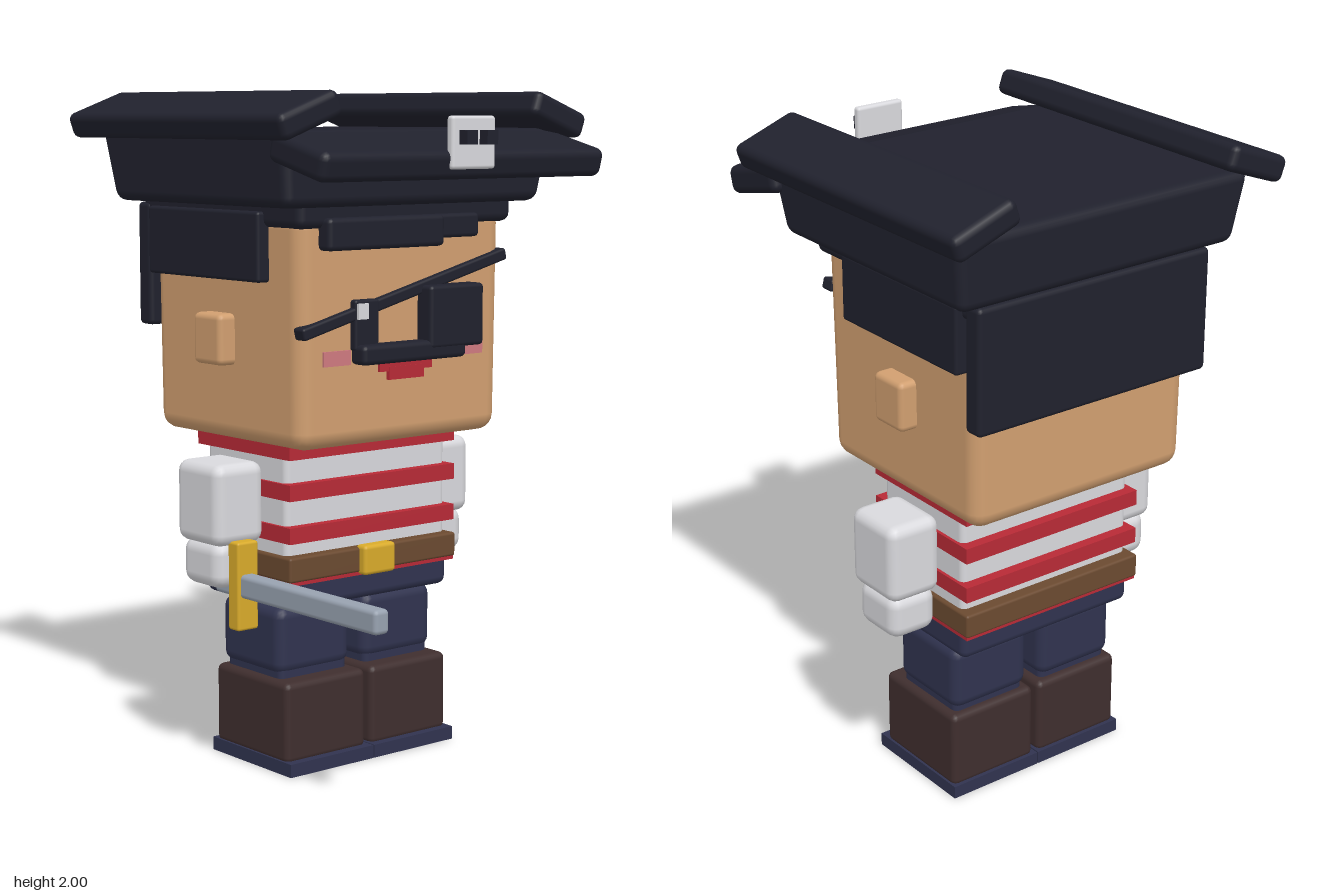
import * as THREE from 'three';
import { RoundedBoxGeometry } from 'three/addons/geometries/RoundedBoxGeometry.js';

const mat = (name, color) => new THREE.MeshStandardMaterial({ name, color });

export function createModel() {
  const model = new THREE.Group();
  model.name = 'blockyPirate';

  const black = mat('hatBlack', 0x20212d);
  const skin = mat('skin', 0xd19f70);
  const white = mat('shirtWhite', 0xd9d9dd);
  const red = mat('stripeRed', 0xb82a36);
  const navy = mat('trouserNavy', 0x30334f);
  const leather = mat('bootBrown', 0x3f2e2e);
  const brown = mat('beltBrown', 0x6b4a30);
  const gold = mat('gold', 0xd9ab2b);
  const steel = mat('steel', 0x98a2b0);
  const pink = mat('cheekPink', 0xcf7a80);

  // Box given by its extents; r > 0 rounds the edges
  function box(name, material, [x0, x1], [y0, y1], [z0, z1], r = 0, parent = model) {
    const w = x1 - x0, h = y1 - y0, d = z1 - z0;
    const geo = r ? new RoundedBoxGeometry(w, h, d, 2, r) : new THREE.BoxGeometry(w, h, d);
    const mesh = new THREE.Mesh(geo, material);
    mesh.name = name;
    mesh.position.set((x0 + x1) / 2, (y0 + y1) / 2, (z0 + z1) / 2);
    parent.add(mesh);
    return mesh;
  }

  // The same box on both sides
  function pair(name, material, [x0, x1], y, z, r) {
    return [
      box(name + 'Left', material, [x0, x1], y, z, r),
      box(name + 'Right', material, [-x1, -x0], y, z, r),
    ];
  }

  // Narrow a box toward its bottom
  function taper(mesh, height, amount) {
    const p = mesh.geometry.attributes.position;
    for (let i = 0; i < p.count; i++) {
      const s = 1 - amount * (0.5 - p.getY(i) / height);
      p.setX(i, p.getX(i) * s);
      p.setZ(i, p.getZ(i) * s);
    }
    mesh.geometry.computeBoundingSphere();
  }

  // Boots, soles and legs
  pair('sole', navy, [0.002, 0.32], [0, 0.04], [-0.27, 0.115]);
  pair('boot', leather, [0.01, 0.315], [0.03, 0.275], [-0.26, 0.09], 0.02);
  pair('shin', navy, [0.035, 0.29], [0.25, 0.32], [-0.235, 0.03], 0.02);
  pair('leg', navy, [0.025, 0.302], [0.285, 0.49], [-0.25, 0.038], 0.035);
  box('hips', navy, [-0.315, 0.315], [0.492, 0.59], [-0.31, 0.093], 0.025);

  // Shirt with stripes
  box('shirt', white, [-0.31, 0.31], [0.57, 0.965], [-0.3, 0.085], 0.02);
  for (const y of [0.573, 0.697, 0.823, 0.943]) {
    box('stripe', red, [-0.32, 0.32], [y, y + 0.048], [-0.333, 0.115]);
  }
  box('neck', white, [-0.2, 0.2], [0.94, 1.0], [-0.24, 0.03]);

  // Belt
  box('belt', brown, [-0.324, 0.324], [0.583, 0.657], [-0.34, 0.12], 0.008);
  box('buckle', gold, [-0.062, 0.06], [0.575, 0.665], [0.1, 0.146], 0.012);

  // Arms and hands
  pair('arm', white, [0.318, 0.495], [0.688, 0.93], [-0.212, 0], 0.035);
  pair('hand', white, [0.325, 0.485], [0.56, 0.7], [-0.2, -0.015], 0.04);

  // Sword in the right hand
  const sword = new THREE.Group();
  sword.name = 'sword';
  model.add(sword);
  box('guard', gold, [-0.445, -0.37], [0.443, 0.705], [-0.02, 0.03], 0.008, sword);
  box('blade', steel, [-0.435, -0.382], [0.54, 0.61], [-0.1, 0.63], 0.014, sword);

  // Head and ears
  const head = box('head', skin, [-0.388, 0.388], [0.985, 1.66], [-0.463, 0.25], 0.05);
  taper(head, 0.675, 0.015);
  pair('ear', skin, [0.36, 0.44], [1.21, 1.36], [-0.19, -0.057], 0.018);

  // Hair
  box('hairCap', black, [-0.405, 0.405], [1.615, 1.71], [-0.49, 0.27], 0.025);
  pair('sideHair', black, [0.37, 0.427], [1.46, 1.66], [-0.43, 0.108], 0.01);
  box('backHair', black, [-0.41, 0.41], [1.3, 1.67], [-0.51, -0.445], 0.015);
  box('fringe', black, [-0.32, 0.115], [1.553, 1.645], [0.235, 0.297], 0.015);
  box('fringeTip', black, [0.08, 0.26], [1.575, 1.645], [0.235, 0.285], 0.012);

  // Eye, eye patch and strap
  box('eye', black, [-0.203, -0.113], [1.265, 1.41], [0.24, 0.27], 0.008);
  box('eyeGlint', white, [-0.197, -0.16], [1.355, 1.4], [0.268, 0.277]);
  box('eyePatch', black, [0.05, 0.26], [1.257, 1.44], [0.24, 0.308], 0.012);
  const strap = box('patchStrap', black, [-0.4, 0.4], [1.402, 1.438], [0.22, 0.268], 0.008);
  strap.rotation.z = 0.25;

  // Moustache, mouth and cheeks
  box('moustache', black, [-0.2, 0.195], [1.225, 1.282], [0.24, 0.305], 0.015);
  box('mouthTop', red, [-0.1, 0.1], [1.197, 1.225], [0.24, 0.257]);
  box('mouthBottom', red, [-0.067, 0.067], [1.172, 1.21], [0.24, 0.259]);
  pair('cheek', pink, [0.205, 0.305], [1.225, 1.268], [0.245, 0.253]);

  // Hat crown
  const crown = box('hatCrown', black, [-0.51, 0.51], [1.675, 1.89], [-0.555, 0.335], 0.03);
  taper(crown, 0.215, 0.06);

  // Folded brims at the sides and front
  const rolls = pair('brimRoll', black, [0.36, 0.577], [1.89, 1.967], [-0.63, 0.41], 0.022);
  rolls.forEach((roll, i) => { roll.rotation.z = i ? 0.35 : -0.35; });
  const flap = box('frontBrim', black, [-0.53, 0.53], [1.775, 1.86], [0.285, 0.53], 0.025);
  flap.rotation.x = 0.25;

  // Badge on the front brim
  box('badge', white, [-0.083, 0.081], [1.78, 1.927], [0.513, 0.54], 0.01);
  pair('badgeEye', black, [0.018, 0.058], [1.848, 1.887], [0.53, 0.572]);

  return model;
}
